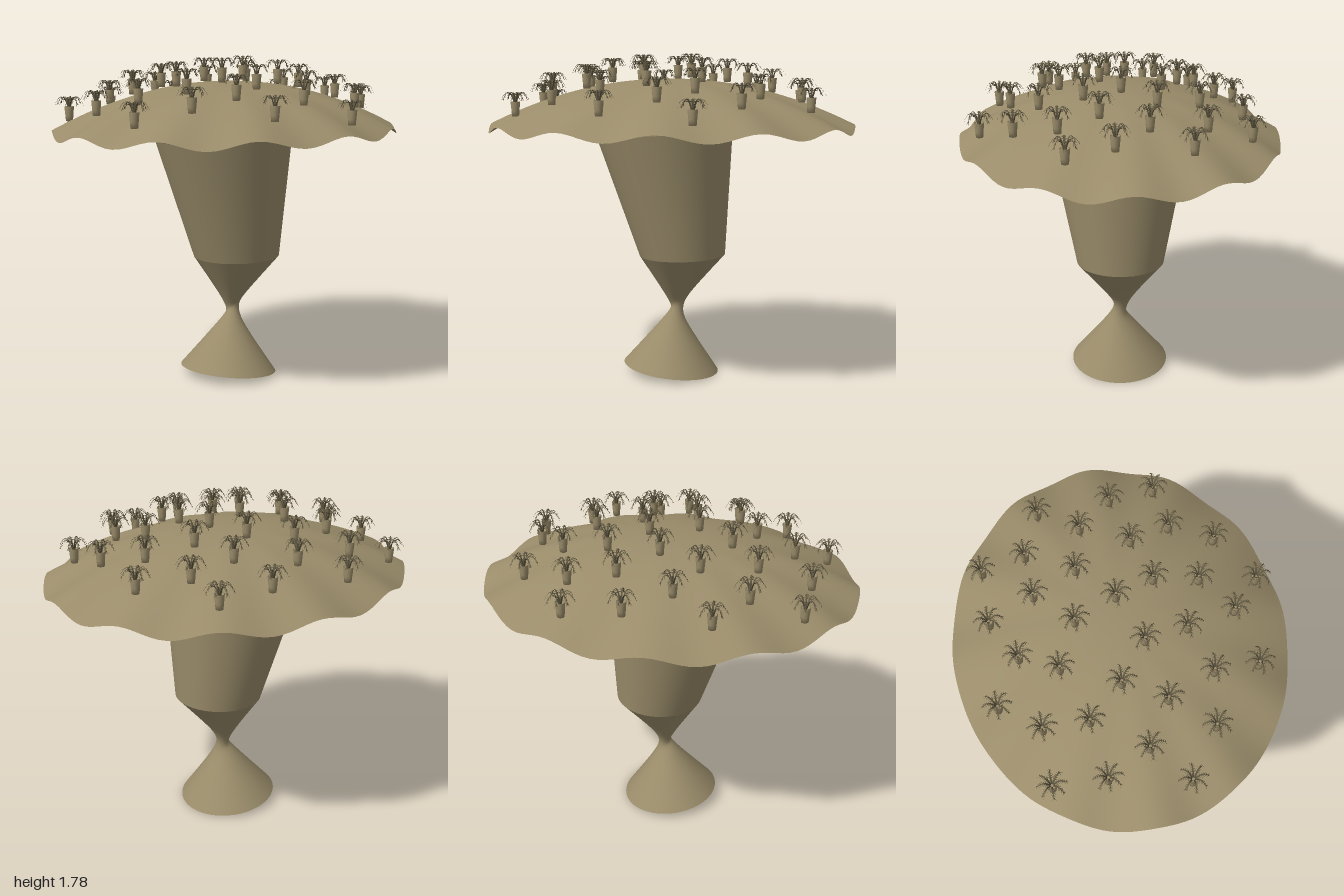
import * as THREE from 'three';

const clay = new THREE.MeshStandardMaterial({ color: 0x9a8c6a, side: THREE.DoubleSide });
const leaf = new THREE.MeshStandardMaterial({ color: 0x5c543f, side: THREE.DoubleSide });

// Grid surface: fn(u, v) gives a point, u runs round the closed loop, v along it.
function loft(nu, nv, fn) {
  const pos = [], idx = [];
  for (let j = 0; j <= nv; j++)
    for (let i = 0; i < nu; i++) pos.push(...fn(i / nu, j / nv));
  for (let j = 0; j < nv; j++)
    for (let i = 0; i < nu; i++) {
      const a = j * nu + i, b = j * nu + (i + 1) % nu;
      idx.push(a, b, b + nu, a, b + nu, a + nu);
    }
  const g = new THREE.BufferGeometry();
  g.setAttribute('position', new THREE.Float32BufferAttribute(pos, 3));
  g.setIndex(idx);
  g.computeVertexNormals();
  return g;
}

// Elliptical ring, tilted along x
const ringPoint = (r, a) => new THREE.Vector3(
  r.x + r.rx * Math.sin(a), r.y + r.tilt * Math.sin(a), r.rz * Math.cos(a));

// Straight rulings between two rings, the upper one turned by twist
const ruled = (lower, upper, twist, steps) => loft(72, steps, (u, v) => {
  const a = u * Math.PI * 2;
  return ringPoint(lower, a).lerp(ringPoint(upper, a + twist), v).toArray();
});

// Domed canopy height, with twelve waves growing towards the rim
const RX = 1, RZ = 0.857;
function canopyY(x, z) {
  const r = Math.hypot(x / RX, z / RZ), a = Math.atan2(z / RZ, x / RX);
  return 1.65 - 0.267 * r ** 2.1 + 0.022 * r ** 3 * Math.cos(12 * a);
}

// One arching frond: a tapered rib with pairs of pointed leaflets
function frondPoints(angle) {
  const curve = new THREE.QuadraticBezierCurve3(
    new THREE.Vector3(0.007, 0.07, 0),
    new THREE.Vector3(0.035, 0.18, 0),
    new THREE.Vector3(0.076, 0.088, 0));
  const pos = [], n = 8;
  const tri = (...pts) => pts.forEach(p => pos.push(
    ...new THREE.Vector3(...p).applyAxisAngle(new THREE.Vector3(0, 1, 0), angle).toArray()));
  for (let i = 0; i < n; i++) {
    const p = curve.getPoint(i / n), q = curve.getPoint((i + 1) / n);
    const w = 0.004 * (1 - i / n) + 0.001, w2 = 0.004 * (1 - (i + 1) / n) + 0.001;
    tri([p.x, p.y, w], [q.x, q.y, w2], [q.x, q.y, -w2]);
    tri([p.x, p.y, w], [q.x, q.y, -w2], [p.x, p.y, -w]);
    if (i < 2) continue;
    const len = 0.016 * (1 - 0.6 * (i - 2) / n);
    for (const s of [-1, 1])
      tri([p.x, p.y, s * w * 0.5],
        [(p.x + q.x) / 2, (p.y + q.y) / 2, s * w * 0.5],
        [q.x + 0.003, q.y - 0.008, s * len]);
  }
  return pos;
}

export function createModel() {
  const model = new THREE.Group();
  const add = (parent, name, geometry, material = clay) => {
    const mesh = new THREE.Mesh(geometry, material);
    mesh.name = name;
    parent.add(mesh);
    return mesh;
  };

  // Trunk: twisted lower half, flared plain upper half, open at both ends
  const base = { x: 0, y: 0.033, rx: 0.265, rz: 0.272, tilt: -0.028 };
  const waist = { x: 0.063, y: 0.675, rx: 0.238, rz: 0.242, tilt: 0.006 };
  const top = { x: -0.035, y: 1.365, rx: 0.375, rz: 0.382, tilt: 0.035 };
  const trunk = new THREE.Group();
  trunk.name = 'trunk';
  model.add(trunk);
  add(trunk, 'twistedBase', ruled(base, waist, THREE.MathUtils.degToRad(164), 48));
  add(trunk, 'upperTrunk', ruled(waist, top, 0, 4));

  // Canopy, wound so that the top is the front side
  add(model, 'canopy', loft(144, 32, (u, v) => {
    const a = u * Math.PI * 2, r = Math.max(v, 0.0005);
    const x = RX * r * Math.sin(a), z = RZ * r * Math.cos(a);
    return [x, canopyY(x, z), z];
  }).rotateY(0));

  // Shared pot and fronds
  const potGeometry = new THREE.LatheGeometry([
    [0, 0], [0.019, 0], [0.0215, 0.03], [0.026, 0.078], [0.022, 0.078], [0.021, 0.07], [0, 0.07],
  ].map(p => new THREE.Vector2(...p)), 16);
  const frondData = [];
  for (let i = 0; i < 8; i++) frondData.push(...frondPoints(i * Math.PI / 4));
  const frondGeometry = new THREE.BufferGeometry();
  frondGeometry.setAttribute('position', new THREE.Float32BufferAttribute(frondData, 3));
  frondGeometry.computeVertexNormals();

  // Potted plants scattered over the canopy: x, z
  const spots = [
    [-0.3, -0.66], [0.14, -0.64], [0.44, -0.64], [-0.09, -0.52], [-0.73, -0.46], [-0.46, -0.46],
    [0.21, -0.4], [0.46, -0.41], [0.71, -0.31], [-0.2, -0.33], [-0.48, -0.23], [-0.75, -0.19],
    [0.02, -0.22], [0.3, -0.17], [0.55, -0.11], [-0.33, -0.05], [0.11, 0], [-0.65, 0.03],
    [0.71, 0.07], [-0.14, 0.1], [-0.44, 0.16], [-0.82, 0.21], [0.42, 0.13], [0.18, 0.2],
    [-0.1, 0.32], [-0.59, 0.37], [-0.33, 0.41], [0.16, 0.43], [0.49, 0.34], [0.75, 0.31],
    [-0.02, 0.58], [0.4, 0.56], [-0.3, 0.65], [0.17, 0.74],
  ];
  for (const [x, z] of spots) {
    const plant = new THREE.Group();
    plant.name = 'pottedPlant';
    plant.position.set(x, canopyY(x, z) + 0.008, z);
    add(plant, 'pot', potGeometry);
    add(plant, 'fronds', frondGeometry, leaf);
    model.add(plant);
  }
  return model;
}
